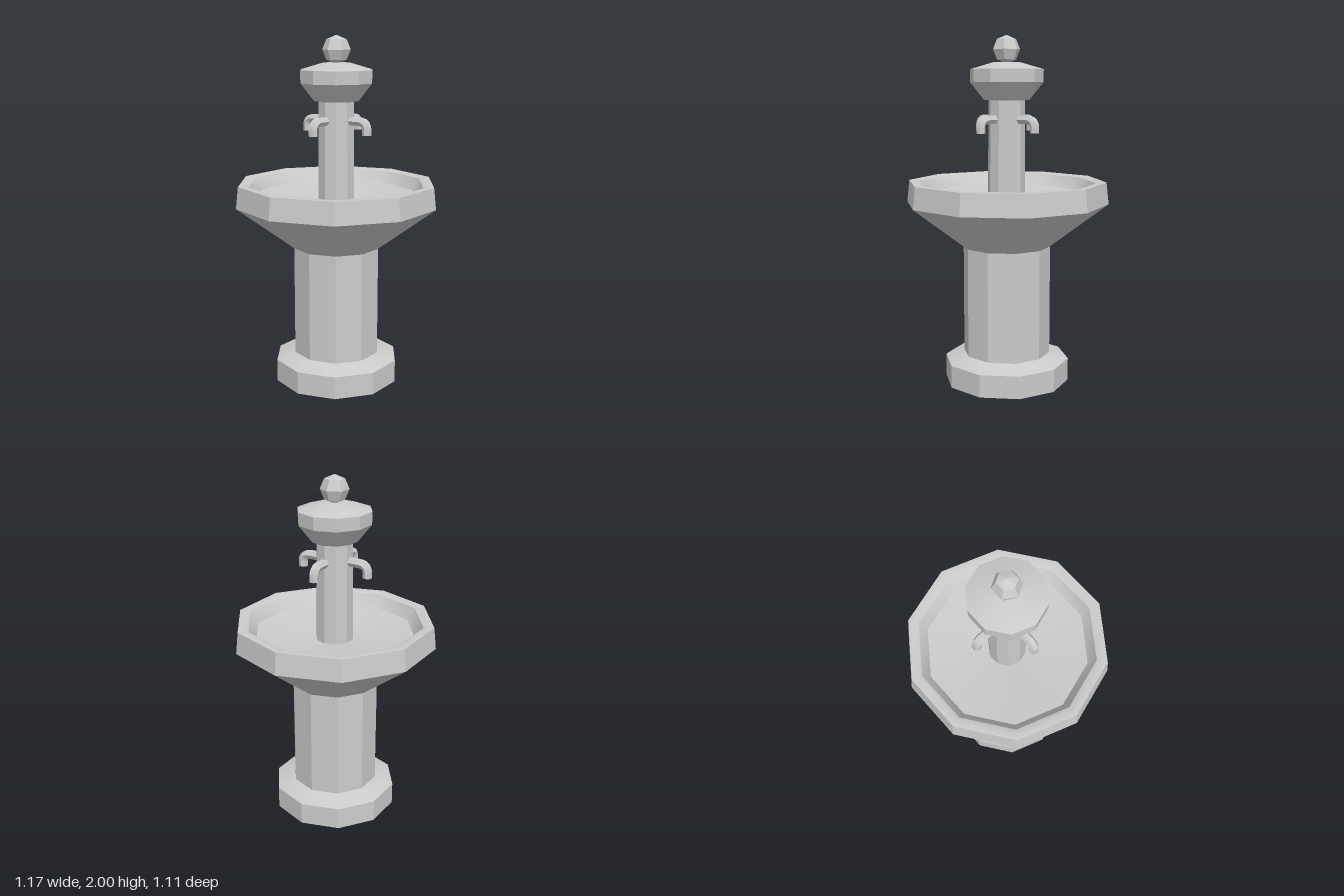
import * as THREE from 'three';
import { toCreasedNormals } from 'three/addons/utils/BufferGeometryUtils.js';

const SIDES = 10;
const CREASE = THREE.MathUtils.degToRad(35);
const material = new THREE.MeshStandardMaterial({ color: 0xcccccc, side: THREE.DoubleSide });

function addMesh(parent, name, geometry) {
  const mesh = new THREE.Mesh(toCreasedNormals(geometry, CREASE), material);
  mesh.name = name;
  parent.add(mesh);
  return mesh;
}

// Ten-sided turned part with a corner on the x axis; profile is [radius, height] pairs
function turned(parent, name, profile) {
  const points = profile.map(([r, y]) => new THREE.Vector2(r, y));
  return addMesh(parent, name, new THREE.LatheGeometry(points, SIDES, Math.PI / 2));
}

// Six-sided spout reaching out along +x and bending down
function makeSpout() {
  const spout = new THREE.Group();
  const path = new THREE.CurvePath();
  const v = (x, y) => new THREE.Vector3(x, y, 0);
  path.add(new THREE.LineCurve3(v(0.08, 1.53), v(0.16, 1.53)));
  path.add(new THREE.QuadraticBezierCurve3(v(0.16, 1.53), v(0.21, 1.53), v(0.21, 1.485)));
  path.add(new THREE.LineCurve3(v(0.21, 1.485), v(0.21, 1.457)));
  addMesh(spout, 'spoutPipe', new THREE.TubeGeometry(path, 12, 0.026, 6, false));
  const end = addMesh(spout, 'spoutMouth', new THREE.CircleGeometry(0.026, 6));
  end.rotation.x = Math.PI / 2;
  end.position.set(0.21, 1.457, 0);
  return spout;
}

export function createModel() {
  const fountain = new THREE.Group();
  fountain.name = 'fountain';

  // Pedestal
  turned(fountain, 'base', [[0, 0], [0.363, 0], [0.363, 0.13], [0.25, 0.168]]);
  turned(fountain, 'pedestal', [[0.253, 0.15], [0.253, 0.8]]);

  // Basin with a broad rim and a shallow dished floor
  turned(fountain, 'basin', [
    [0.25, 0.797], [0.585, 1.05], [0.571, 1.175], [0.535, 1.177],
    [0.51, 1.168], [0.465, 1.1], [0.1, 1.06],
  ]);

  // Centre column and its flared cap
  turned(fountain, 'column', [[0.108, 1.04], [0.104, 1.65]]);
  turned(fountain, 'cap', [
    [0, 1.638], [0.13, 1.638], [0.208, 1.737], [0.21, 1.81], [0.08, 1.848], [0, 1.85],
  ]);

  // Ball finial
  const ball = addMesh(fountain, 'finial', new THREE.SphereGeometry(0.08, 6, 4));
  ball.position.y = 1.92;

  // Four spouts around the column
  for (let i = 0; i < 4; i++) {
    const spout = makeSpout();
    spout.name = `spout${i + 1}`;
    spout.rotation.y = i * Math.PI / 2;
    fountain.add(spout);
  }
  return fountain;
}
